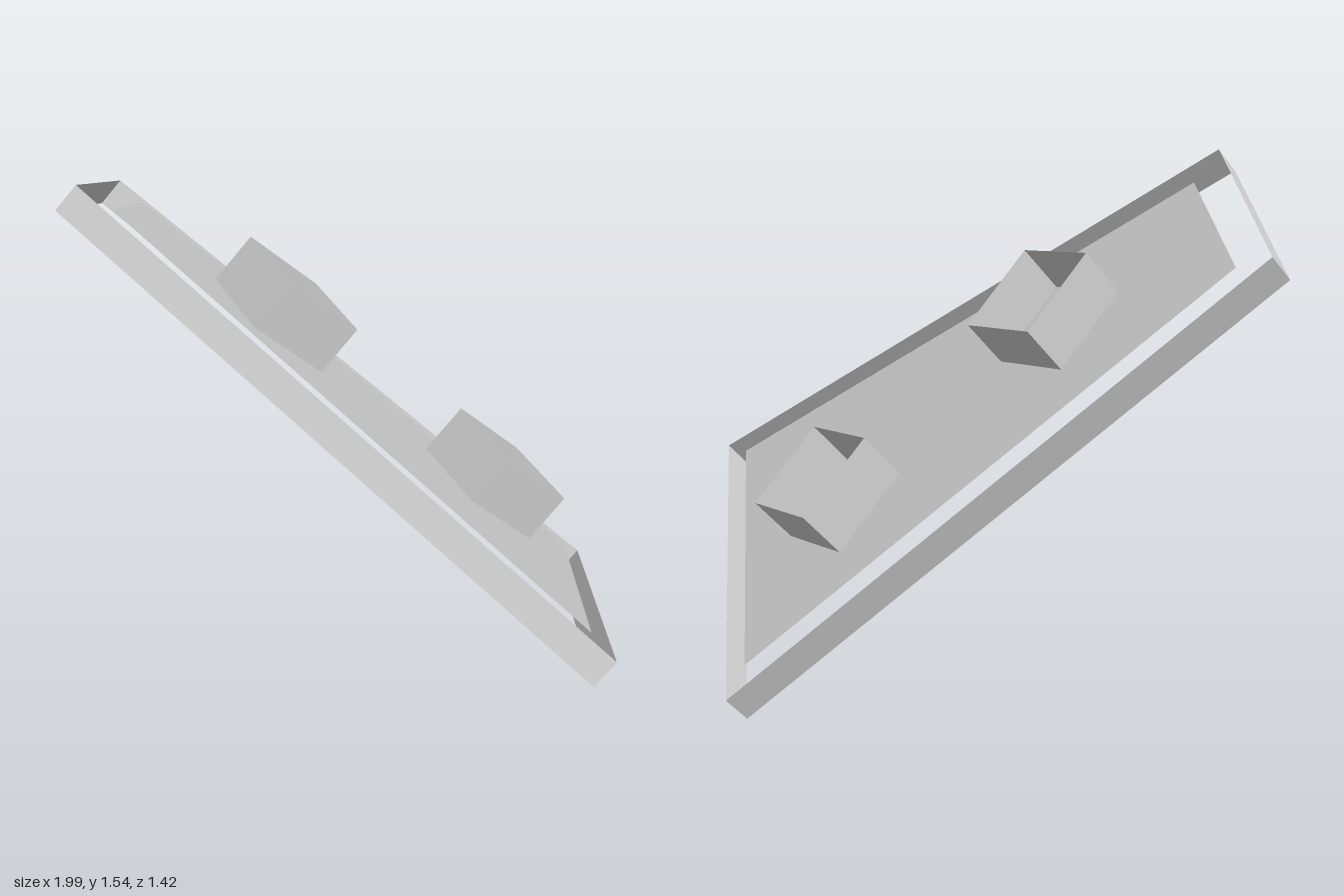
import * as THREE from 'three';

const material = new THREE.MeshStandardMaterial({ color: 0xcccccc, flatShading: true, side: THREE.DoubleSide });

function add(parent, geometry, name) {
  const mesh = new THREE.Mesh(geometry, material);
  mesh.name = name;
  parent.add(mesh);
  return mesh;
}

// Open band of thin upright walls around [x, z] corners, from y0 up to y1
function wallBand(corners, y0, y1) {
  const positions = [];
  corners.forEach(([ax, az], i) => {
    const [bx, bz] = corners[(i + 1) % corners.length];
    positions.push(
      ax, y0, az, bx, y0, bz, bx, y1, bz,
      ax, y0, az, bx, y1, bz, ax, y1, az);
  });
  const geometry = new THREE.BufferGeometry();
  geometry.setAttribute('position', new THREE.Float32BufferAttribute(positions, 3));
  geometry.computeVertexNormals();
  return geometry;
}

export function createModel() {
  const model = new THREE.Group();
  model.name = 'tiltedTray';

  // Everything lies on one tilted plane: local y is the plane's normal
  const tray = new THREE.Group();
  tray.name = 'tray';
  const xAxis = new THREE.Vector3(0.962, -0.06, 0.267).normalize();
  const normal = new THREE.Vector3(0.228, 0.713, -0.663).normalize();
  const zAxis = new THREE.Vector3().crossVectors(xAxis, normal);
  tray.quaternion.setFromRotationMatrix(new THREE.Matrix4().makeBasis(xAxis, normal, zAxis));
  tray.position.copy(normal).multiplyScalar(0.563);
  model.add(tray);

  // Rim of four thin walls hanging below the plane
  const rim = [[-0.43, 1.625], [0.953, 0.297], [-0.056, -0.462], [-0.951, 1.223]];
  add(tray, wallBand(rim, -0.09, 0), 'rim');

  // Flat panel floating inside the rim
  const panel = [[-0.427, 1.493], [0.824, 0.294], [-0.021, -0.35], [-0.844, 1.181]];
  const shape = new THREE.Shape(panel.map(([x, z]) => new THREE.Vector2(x, -z)));
  add(tray, new THREE.ShapeGeometry(shape).rotateX(-Math.PI / 2), 'panel');

  // Two square sleeves, open at the top, standing on the panel
  const h = 0.145;
  const square = [[-h, h], [h, h], [h, -h], [-h, -h]];
  [['upperSleeve', -0.3, 0.927], ['lowerSleeve', 0.076, 0.205]].forEach(([name, x, z]) => {
    add(tray, wallBand(square, 0, 0.161), name).position.set(x, 0, z);
  });

  return model;
}
